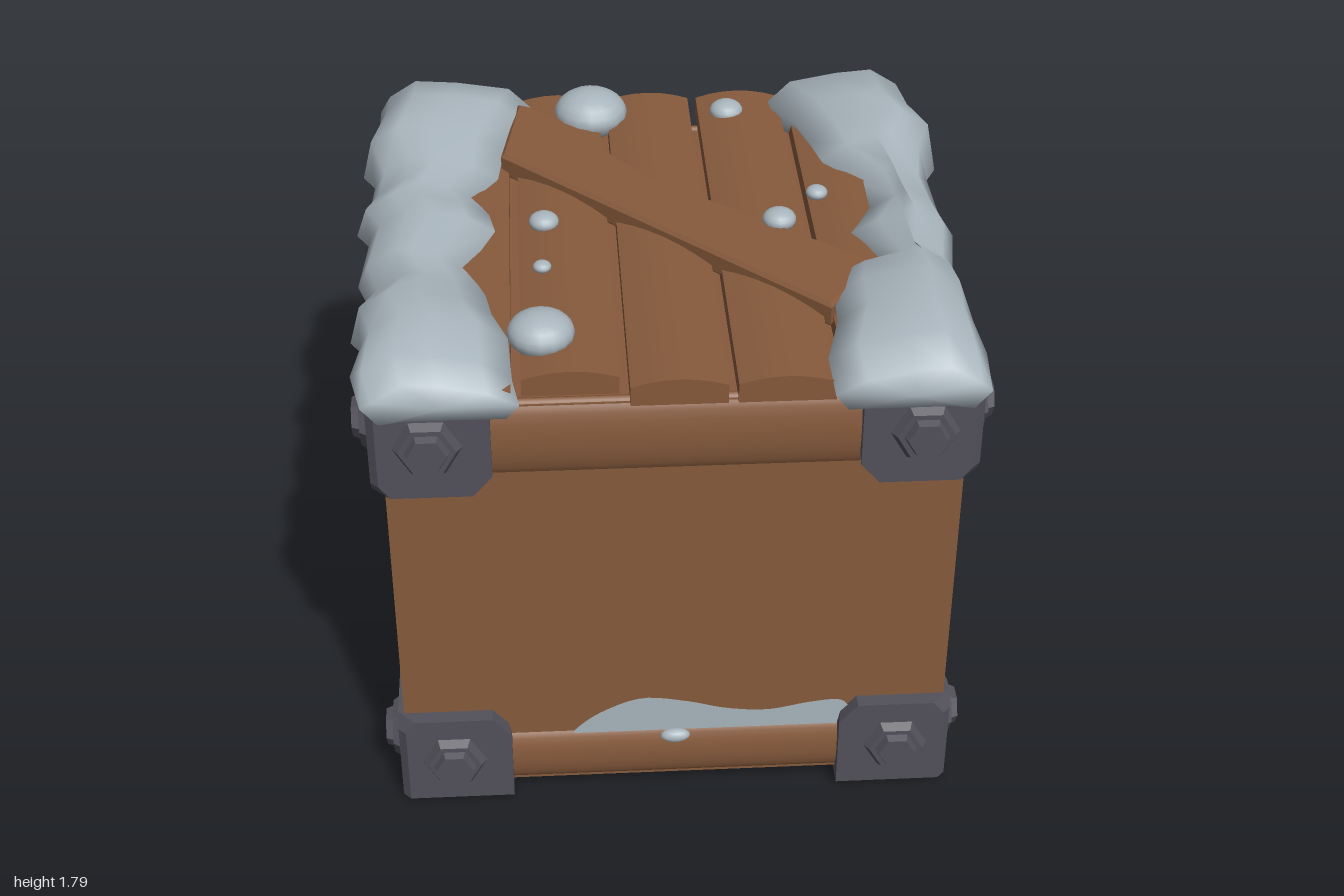
import * as THREE from 'three';
import { toCreasedNormals } from 'three/addons/utils/BufferGeometryUtils.js';
import { ConvexGeometry } from 'three/addons/geometries/ConvexGeometry.js';

const material = (name, color, extra = {}) => {
  const m = new THREE.MeshStandardMaterial({ color, ...extra });
  m.name = name;
  return m;
};
const wood = material('wood', 0x865a3c);
const metal = material('dark metal', 0x52515a);
const snow = material('snow', 0xa9b5bd, { side: THREE.DoubleSide });

function add(parent, name, geometry, mat, x = 0, y = 0, z = 0) {
  const mesh = new THREE.Mesh(geometry, mat);
  mesh.name = name;
  mesh.position.set(x, y, z);
  parent.add(mesh);
  return mesh;
}

// Deck board with a gently arched top, running along z
function plankGeometry(width, length) {
  const w = width / 2;
  const s = new THREE.Shape();
  s.moveTo(-w, 0);
  s.lineTo(w, 0);
  s.lineTo(w, 0.065);
  s.quadraticCurveTo(0, 0.115, -w, 0.065);
  const g = new THREE.ExtrudeGeometry(s, { depth: length, bevelEnabled: false, curveSegments: 6 });
  return toCreasedNormals(g.translate(0, 0, -length / 2), 0.5);
}

// Chamfered corner block; its outer corner is at the origin and it extends along +x, +y, +z
function bracketGeometry() {
  const face = [[0.025, 0.02], [0.37, 0.02], [0.37, 0.285], [0.31, 0.355], [0.06, 0.355], [0.025, 0.31]];
  const points = [[0.03, 0, 0.03], [0.36, 0, 0.03], [0.03, 0, 0.36], [0.37, 0, 0.37], [0.31, 0.355, 0.31]];
  for (const [a, y] of face) points.push([a, y, 0], [0, y, a]);
  return new ConvexGeometry(points.map(p => new THREE.Vector3(...p)));
}

// Hexagonal bolt whose base sits at z = 0
function makeBolt() {
  const bolt = new THREE.Group();
  bolt.name = 'bolt';
  for (const [name, r0, r1, h, z] of [['boltCollar', 0.108, 0.088, 0.03, 0.012], ['boltHead', 0.072, 0.06, 0.03, 0.036]]) {
    const g = new THREE.CylinderGeometry(r1, r0, h, 6).rotateY(Math.PI / 6).rotateX(Math.PI / 2);
    add(bolt, name, toCreasedNormals(g.rotateZ(0), 0.3), metal, 0, 0, z);
  }
  return bolt;
}

// Snow drift lofted along z; rows hold z, outer edge, inner edge, top, outer hem
function driftGeometry(side, rows) {
  const pos = [], index = [];
  const n = 9;
  const tri = (a, b, c) => (side > 0 ? index.push(a, b, c) : index.push(a, c, b));
  for (const [z, o, i, t, hem] of rows) {
    const under = Math.abs(z) > 0.85 ? 1.56 : 1.61;
    const ring = [
      [o - 0.05, hem], [o, hem + 0.06], [o - 0.035, t - 0.06], [o - 0.13, t], [(o + i) / 2, t - 0.01],
      [i + 0.09, t - 0.04], [i, (t + under) / 2 - 0.02], [i + 0.04, under], [o - 0.12, under],
    ];
    for (const [x, y] of ring) pos.push(side * x, y, z);
  }
  for (let r = 0; r < rows.length - 1; r++) {
    for (let k = 0; k < n; k++) {
      const a = r * n + k, b = r * n + (k + 1) % n;
      tri(a, b, a + n);
      tri(b, b + n, a + n);
    }
  }
  // Rounded ends
  const last = (rows.length - 1) * n;
  for (const [start, row, dz] of [[0, rows[0], -0.015], [last, rows[rows.length - 1], 0.015]]) {
    const c = pos.length / 3;
    pos.push(side * (row[1] + row[2]) / 2, 1.61, row[0] + dz);
    for (let k = 0; k < n; k++) {
      const a = start + k, b = start + (k + 1) % n;
      if (start === 0) tri(c, b, a);
      else tri(c, a, b);
    }
  }
  const g = new THREE.BufferGeometry();
  g.setAttribute('position', new THREE.Float32BufferAttribute(pos, 3));
  g.setIndex(index);
  g.computeVertexNormals();
  return g;
}

// Flat snow cling along a wall, from u0 to u1 above the lower rail
function clingGeometry(u0, u1, height) {
  const profile = [[0, 0], [0.09, 0.55], [0.24, 1], [0.4, 0.85], [0.55, 0.55], [0.7, 0.45], [0.85, 0.65], [0.96, 0.7], [1, 0.4]];
  const s = new THREE.Shape();
  s.moveTo(u0, 0.25);
  s.splineThru(profile.map(([u, v]) => new THREE.Vector2(u0 + u * (u1 - u0), 0.27 + v * height)));
  s.lineTo(u1, 0.25);
  return new THREE.ShapeGeometry(s, 4);
}

export function createModel() {
  const model = new THREE.Group();
  model.name = 'snowyCrate';

  // Body
  add(model, 'crateBody', new THREE.BoxGeometry(1.78, 1.51, 1.77), wood, 0, 0.815, 0.02);

  // Rails and clinging snow on each wall: turn, wall distance, middle, cling span and height, lumps [u, y, r]
  const walls = [
    ['front', 0, 0.905, 0, [-0.33, 0.58, 0.125], [[0, 0.235, 0.05]]],
    ['right', 1, 0.89, -0.02, [-0.31, 0.39, 0.09], [[-0.055, 0.235, 0.055], [-0.5, 0.24, 0.075]]],
    ['back', 2, 0.865, 0, [-0.36, 0.6, 0.12], [[-0.05, 0.24, 0.11]]],
    ['left', 3, 0.89, 0.02, [-0.2, 0.63, 0.11], [[0.1, 0.235, 0.05]]],
  ];
  for (const [name, turn, d, mid, cling, lumps] of walls) {
    const wall = new THREE.Group();
    wall.name = name + 'Wall';
    wall.rotation.y = turn * Math.PI / 2;
    model.add(wall);
    const rail = (y, h) => {
      const g = new THREE.CylinderGeometry(1, 1, 1.5, 24).rotateZ(Math.PI / 2).scale(1, h / 2, 0.045);
      return add(wall, name + 'Rail', g, wood, mid, y, d - 0.02);
    };
    rail(0.165, 0.215);
    if (turn % 2 === 0) rail(1.445, 0.27);
    add(wall, 'wallSnow', clingGeometry(...cling), snow, 0, 0, d + 0.005);
    for (const [u, y, r] of lumps) {
      add(wall, 'railSnowLump', new THREE.SphereGeometry(r, 14, 8).scale(1, 0.5, 0.5), snow, u, y, d + 0.012);
    }
    // Streaks of frost on the left wall
    if (name === 'left') {
      for (const pts of [
        [[-0.58, 0.38], [-0.5, 0.4], [-0.22, 0.6], [-0.1, 0.78], [-0.22, 0.76], [-0.48, 0.52]],
        [[-0.07, 0.84], [-0.03, 0.84], [0.04, 0.95], [0, 0.95]],
      ]) {
        const s = new THREE.Shape(pts.map(p => new THREE.Vector2(...p)));
        add(wall, 'frostStreak', new THREE.ShapeGeometry(s), snow, 0, 0, d + 0.005);
      }
    }
  }

  // Deck planks
  for (let i = -2; i <= 2; i++) {
    const length = i === -1 ? 1.79 : 1.85;
    const plank = add(model, 'deckPlank', plankGeometry(0.295, length), wood, 0.008 + i * 0.325, 1.575, -0.93 + length / 2);
    plank.rotation.x = 0.012;
  }

  // Diagonal brace across the deck
  const brace = new THREE.Shape([[-0.46, 0.8], [-0.4, 0.77], [-0.01, 0.25], [0.68, -0.33], [0.5, -0.58], [-0.52, 0.43]]
    .map(p => new THREE.Vector2(...p)));
  const braceGeometry = new THREE.ExtrudeGeometry(brace, {
    depth: 0.06, bevelThickness: 0.012, bevelSize: 0.012, bevelOffset: -0.012, bevelSegments: 1,
  }).rotateX(-Math.PI / 2);
  add(model, 'diagonalBrace', braceGeometry, wood, 0, 1.625, 0).rotation.x = 0.02;

  // Corner brackets, each with two bolts
  const bracket = bracketGeometry();
  for (const sx of [-1, 1]) for (const front of [true, false]) for (const top of [false, true]) {
    const sz = front ? 1 : -1;
    const x = top ? 0.93 : 0.91;
    const z = front ? 0.955 : (top ? 0.91 : 0.895);
    const g = bracket.clone().scale(-sx, top ? -1 : 1, -sz);
    // Mirroring an odd number of times reverses the faces
    if (sx * sz * (top ? 1 : -1) > 0) {
      const p = g.attributes.position;
      const a = new THREE.Vector3(), b = new THREE.Vector3();
      for (let i = 0; i < p.count; i += 3) {
        a.fromBufferAttribute(p, i + 1);
        b.fromBufferAttribute(p, i + 2);
        p.setXYZ(i + 1, b.x, b.y, b.z);
        p.setXYZ(i + 2, a.x, a.y, a.z);
      }
    }
    g.computeVertexNormals();
    add(model, 'cornerBracket', g, metal, sx * x, top ? 1.63 : 0.01, sz * z);
    const by = top ? 1.46 : 0.195;
    const faceBolt = makeBolt();
    faceBolt.position.set(sx * (x - 0.18), by, sz * z);
    faceBolt.rotation.y = front ? 0 : Math.PI;
    const sideBolt = makeBolt();
    sideBolt.position.set(sx * x, by, sz * (z - 0.18));
    sideBolt.rotation.y = sx * Math.PI / 2;
    model.add(faceBolt, sideBolt);
  }

  // Snow drifts along both sides of the deck
  add(model, 'leftDrift', driftGeometry(1, [
    [-0.97, 0.92, 0.5, 1.69, 1.55], [-0.86, 0.94, 0.43, 1.78, 1.6], [-0.66, 0.95, 0.51, 1.8, 1.59],
    [-0.5, 1.0, 0.55, 1.8, 1.5], [-0.38, 0.95, 0.58, 1.78, 1.52], [-0.25, 0.93, 0.69, 1.74, 1.59],
    [-0.06, 0.94, 0.7, 1.75, 1.57], [0.1, 0.96, 0.62, 1.75, 1.58], [0.28, 0.93, 0.68, 1.73, 1.57],
    [0.36, 0.94, 0.54, 1.75, 1.55], [0.48, 0.95, 0.52, 1.76, 1.51], [0.66, 0.93, 0.51, 1.78, 1.6],
    [0.84, 0.94, 0.46, 1.75, 1.6], [0.97, 0.94, 0.47, 1.7, 1.55],
  ]), snow);
  add(model, 'rightDrift', driftGeometry(-1, [
    [-0.96, 0.93, 0.47, 1.7, 1.56], [-0.86, 0.95, 0.4, 1.78, 1.6], [-0.72, 0.95, 0.44, 1.8, 1.6],
    [-0.5, 1.0, 0.51, 1.79, 1.53], [-0.33, 0.95, 0.53, 1.76, 1.58], [-0.2, 0.96, 0.61, 1.75, 1.57],
    [-0.08, 1.0, 0.56, 1.76, 1.54], [0.03, 0.95, 0.54, 1.76, 1.58], [0.25, 0.98, 0.63, 1.74, 1.54],
    [0.42, 0.94, 0.57, 1.75, 1.58], [0.55, 0.99, 0.55, 1.77, 1.52], [0.7, 0.95, 0.5, 1.78, 1.59],
    [0.86, 0.97, 0.49, 1.74, 1.6], [0.96, 0.94, 0.47, 1.69, 1.55],
  ]), snow);

  // Loose snow lumps on the deck: x, z, radius
  for (const [x, z, r] of [
    [-0.2, -0.8, 0.13], [0.285, -0.785, 0.06], [0.54, -0.165, 0.037], [0.39, 0.06, 0.056],
    [-0.38, -0.02, 0.05], [-0.39, 0.27, 0.03], [-0.4, 0.66, 0.105],
  ]) {
    const y = x === 0.39 ? 1.7 : 1.67;
    add(model, 'snowLump', new THREE.SphereGeometry(r, 16, 10).scale(1, 0.65, 1), snow, x, y, z);
  }
  return model;
}
